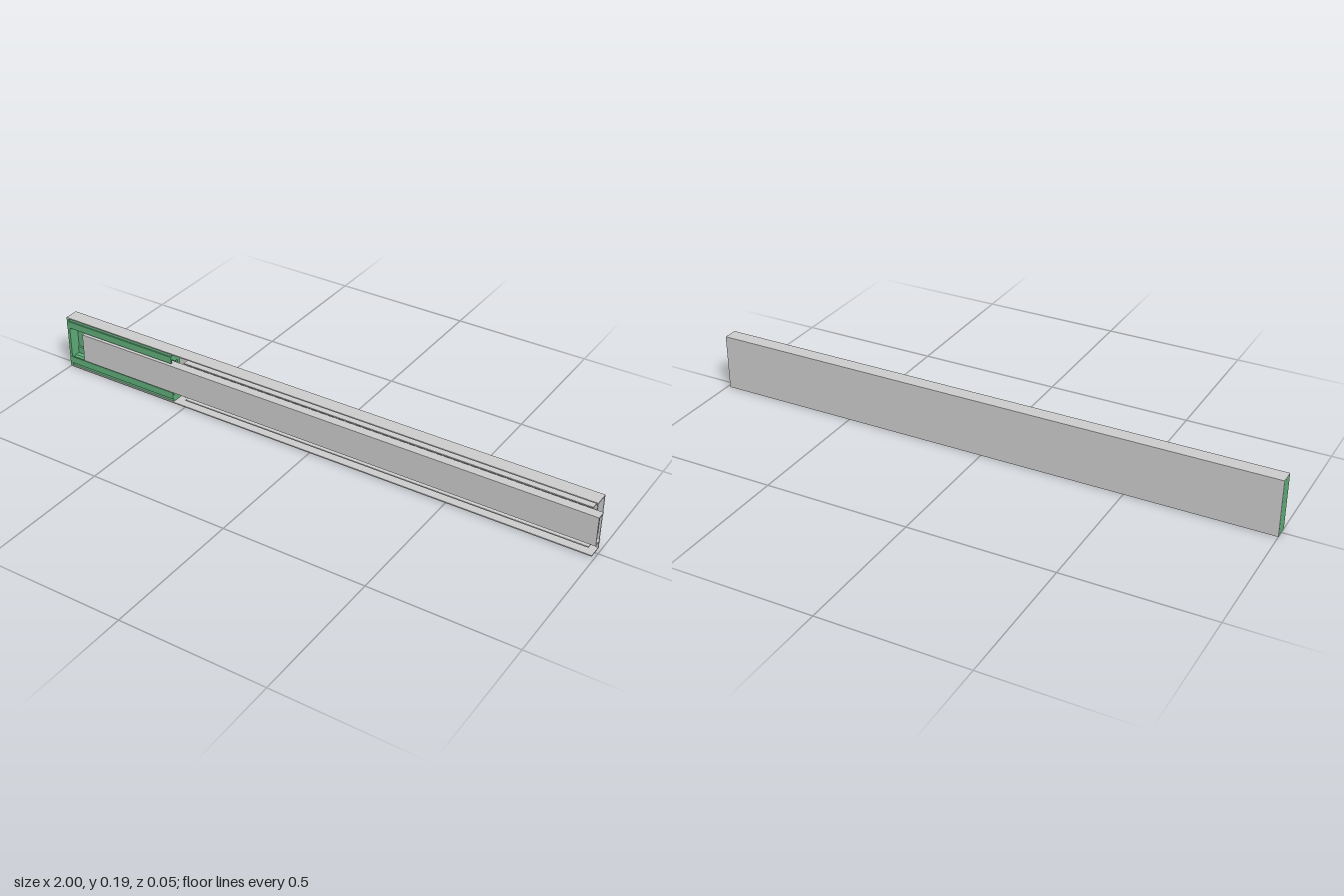
import * as THREE from 'three';

const MID = 0.0975; // height of the slide's symmetry plane
const grey = new THREE.MeshStandardMaterial({ color: 0xcccccc });
const green = new THREE.MeshStandardMaterial({ color: 0x5fae78 });

// Extrudes a C section along x; points [z, height above MID] run from the
// outer back round to the inner back, and are mirrored below MID.
function rail(name, half, x0, x1, material = grey) {
  const lower = half.map(([z, h]) => [z, -h]).reverse();
  const shape = new THREE.Shape(
    [...half, ...lower].map(([z, h]) => new THREE.Vector2(-z, MID + h))
  );
  const geo = new THREE.ExtrudeGeometry(shape, { depth: x1 - x0, bevelEnabled: false });
  geo.rotateY(Math.PI / 2).translate(x0, 0, 0);
  const mesh = new THREE.Mesh(geo, material);
  mesh.name = name;
  return mesh;
}

function box(name, [x0, x1], [y0, y1], [z0, z1], material = grey) {
  const mesh = new THREE.Mesh(new THREE.BoxGeometry(x1 - x0, y1 - y0, z1 - z0), material);
  mesh.position.set((x0 + x1) / 2, (y0 + y1) / 2, (z0 + z1) / 2);
  mesh.name = name;
  return mesh;
}

export function createModel() {
  const group = new THREE.Group();
  group.name = 'drawerSlide';

  // Fixed outer channel
  group.add(rail('outerRail', [
    [-0.027, 0.0975], [0.023, 0.0975], [0.023, 0.0935], [-0.023, 0.0935],
  ], -1, 0.99));

  // Middle channel with a web stepped towards the front
  group.add(rail('middleRail', [
    [-0.012, 0.031], [-0.018, 0.038], [-0.018, 0.074], [0.018, 0.074],
    [0.018, 0.070], [-0.014, 0.070], [-0.014, 0.040], [-0.008, 0.033],
  ], -0.5, 0.975));

  // Moving inner channel, open to the back
  group.add(rail('innerRail', [
    [0.028, 0.052], [-0.004, 0.052], [-0.004, 0.047], [0.024, 0.047],
  ], -0.93, 1));
  group.add(box('innerRailTab', [0.985, 0.99], [0.066, 0.13], [-0.007, 0.026]));

  // Coloured stop housing at the closed end of the outer channel
  group.add(rail('stopHousing', [
    [-0.0228, 0.0933], [0.019, 0.0933], [0.019, 0.073], [0.004, 0.058],
    [-0.012, 0.058], [-0.012, 0.034], [-0.016, 0.031],
  ], -1, -0.55, green));
  group.add(box('stopEndWall', [-1, -0.99], [0.0042, 0.1908], [-0.0228, 0.0225], green));
  for (const s of [1, -1]) {
    const y = MID + s * 0.07;
    group.add(box('stopLip', [-1, -0.55], [y - 0.0125, y + 0.0125], [0.018, 0.023], green));
  }
  return group;
}
